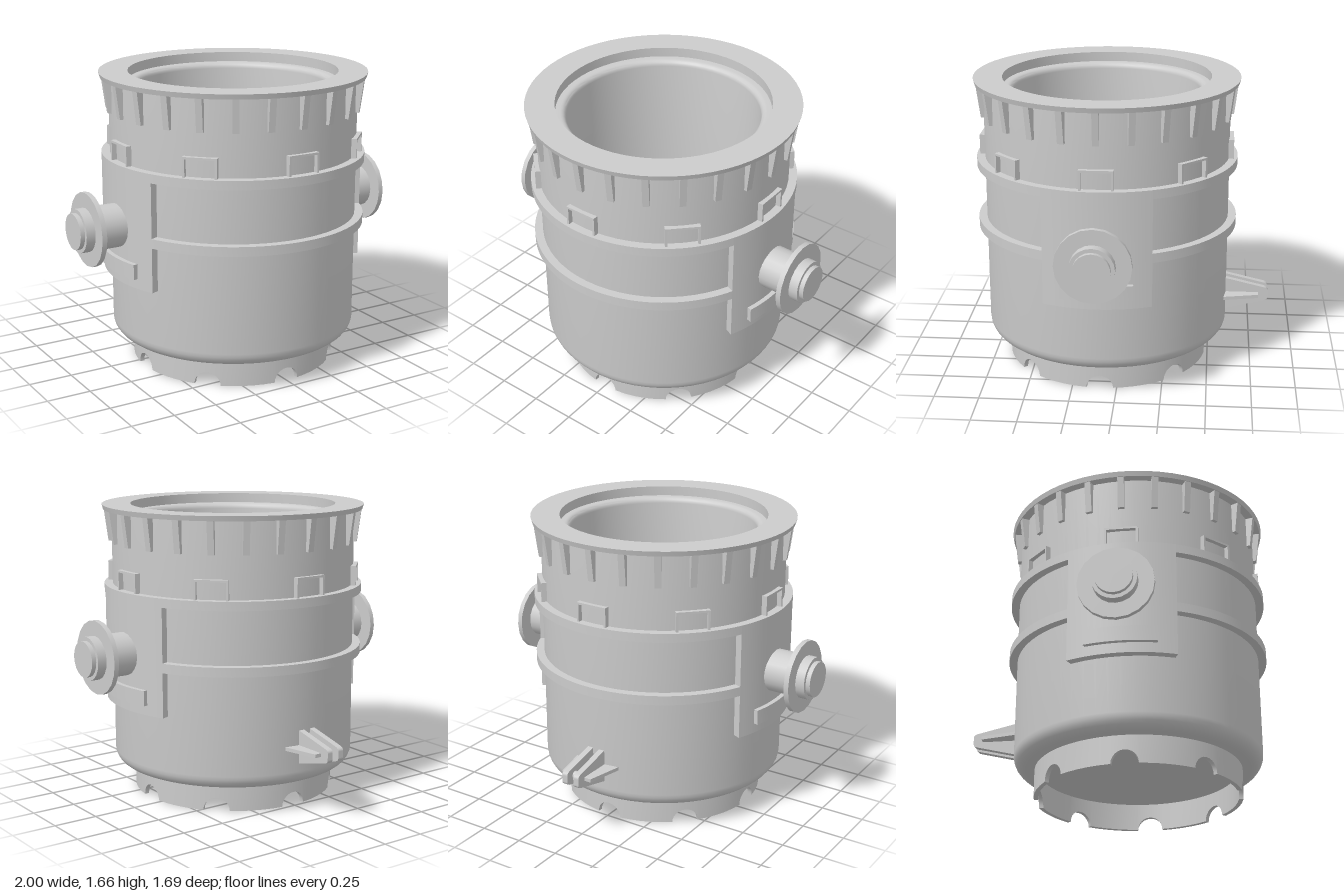
import * as THREE from 'three';
import { toCreasedNormals } from 'three/addons/utils/BufferGeometryUtils.js';

const material = new THREE.MeshStandardMaterial({ color: 0xcccccc });

function add(parent, name, geometry) {
  const mesh = new THREE.Mesh(geometry, material);
  mesh.name = name;
  parent.add(mesh);
  return mesh;
}

const polygon = (pts) => new THREE.Shape(pts.map(([x, y]) => new THREE.Vector2(x, y)));

// Flat plate of a given thickness, centred on its own plane
function plate(shape, thickness) {
  const g = new THREE.ExtrudeGeometry(shape, { depth: thickness, bevelEnabled: false, curveSegments: 8 });
  return g.translate(0, 0, -thickness / 2);
}

// Curved slab wrapped around the y axis; angle 0 points to +x
function sector(r0, r1, y0, y1, a0, a1) {
  const s = new THREE.Shape();
  s.absarc(0, 0, r1, a0, a1, false);
  s.absarc(0, 0, r0, a1, a0, true);
  const curveSegments = Math.ceil((a1 - a0) * 10);
  const g = new THREE.ExtrudeGeometry(s, { depth: y1 - y0, bevelEnabled: false, curveSegments });
  g.rotateX(-Math.PI / 2).translate(0, y0, 0);
  return toCreasedNormals(g, 0.5);
}

// Ring with eight round arches cut into its lower edge
function skirtGeometry(rOut, rIn, top, arch) {
  const columns = [];
  const half = arch / rOut;
  for (let k = 0; k < 8; k++) {
    const c = k * Math.PI / 4;
    for (let i = 0; i <= 12; i++) {
      const t = Math.PI * (1 - i / 12);
      columns.push([c + half * Math.cos(t), arch * Math.sin(t)]);
    }
    for (let i = 1; i < 5; i++) columns.push([c + half + (Math.PI / 4 - 2 * half) * i / 5, 0]);
  }
  const pos = [], index = [], n = columns.length;
  columns.forEach(([a, y], i) => {
    for (const [r, h] of [[rOut, y], [rOut, top], [rIn, top], [rIn, y]]) {
      pos.push(r * Math.sin(a), h, r * Math.cos(a));
    }
    const next = (i + 1) % n;
    for (let j = 0; j < 4; j++) {
      const k = (j + 1) % 4;
      index.push(i * 4 + j, next * 4 + j, next * 4 + k, i * 4 + j, next * 4 + k, i * 4 + k);
    }
  });
  const g = new THREE.BufferGeometry();
  g.setAttribute('position', new THREE.Float32BufferAttribute(pos, 3));
  g.setIndex(index);
  return toCreasedNormals(g, 0.5);
}

export function createModel() {
  const model = new THREE.Group();
  model.name = 'ladle';
  const pot = new THREE.Group();
  pot.name = 'pot';
  pot.position.z = 0.095;
  model.add(pot);

  // Vessel: rounded bottom, flared rim, stepped mouth and deep cavity
  const profile = [[0, 0.155], [0.62, 0.155]];
  for (let i = 1; i <= 6; i++) {
    const a = i / 6 * Math.PI / 2;
    profile.push([0.62 + 0.077 * Math.sin(a), 0.235 - 0.08 * Math.cos(a)]);
  }
  profile.push([0.695, 1.632], [0.742, 1.632], [0.75, 1.66], [0.587, 1.66], [0.587, 1.605], [0.56, 1.605]);
  for (let i = 1; i <= 5; i++) {
    const a = i / 5 * Math.PI / 2;
    profile.push([0.56 - 0.032 * Math.sin(a), 1.573 + 0.032 * Math.cos(a)]);
  }
  profile.push([0.528, 0.25], [0, 0.25]);
  const lathe = new THREE.LatheGeometry(profile.map(([x, y]) => new THREE.Vector2(x, y)), 64);
  add(pot, 'vessel', toCreasedNormals(lathe, 0.5));

  add(pot, 'baseSkirt', skirtGeometry(0.58, 0.555, 0.16, 0.075));

  // Ribs under the rim
  const ribShape = polygon([[0.68, 1.45], [0.714, 1.45], [0.738, 1.635], [0.68, 1.635]]);
  const ribGeometry = plate(ribShape, 0.036);
  for (let k = 0; k < 24; k++) add(pot, 'rimRib', ribGeometry).rotation.y = k * Math.PI / 12;

  // Inverted-U frames standing on the upper band
  const frameShape = polygon([[-0.093, 1.2], [-0.081, 1.2], [-0.081, 1.308], [0.081, 1.308],
    [0.081, 1.2], [0.093, 1.2], [0.093, 1.32], [-0.093, 1.32]]);
  const frameGeometry = plate(frameShape, 0.05).translate(0, 0, 0.694);
  for (let k = 0; k < 8; k++) add(pot, 'wallFrame', frameGeometry).rotation.y = k * Math.PI / 4;

  // Bands front and back, running between the side plates
  const half = 0.41;
  for (const [y0, y1] of [[0.802, 0.855], [1.16, 1.21]]) {
    const band = sector(0.685, 0.742, y0, y1, half, Math.PI - half);
    add(pot, 'frontBand', band).rotation.y = Math.PI;
    add(pot, 'backBand', band);
  }

  // Side plates with trunnions
  const sidePlate = sector(0.685, 0.742, 0.55, 1.21, -half, half);
  const pad = sector(0.73, 0.768, 0.607, 0.692, -0.263, 0.263);
  const disc = (r, x0, x1) =>
    new THREE.CylinderGeometry(r, r, x1 - x0, 20).rotateZ(-Math.PI / 2).translate((x0 + x1) / 2, 0.867, 0);
  for (const [side, angle] of [['left', 0], ['right', Math.PI]]) {
    const g = new THREE.Group();
    g.name = side + 'Trunnion';
    g.rotation.y = angle;
    add(g, 'sidePlate', sidePlate);
    add(g, 'pad', pad);
    add(g, 'trunnionShaft', disc(0.121, 0.7, 0.975));
    add(g, 'trunnionFlange', disc(0.205, 0.895, 0.923));
    add(g, 'trunnionCap', disc(0.1, 0.97, 1));
    pot.add(g);
  }

  // Tilting lug at the back: two cheeks, side gussets and a pin
  const lug = new THREE.Group();
  lug.name = 'tiltingLug';
  const cheek = new THREE.Shape();
  cheek.moveTo(0.67, 0.475);
  cheek.lineTo(0.915, 0.418);
  cheek.quadraticCurveTo(0.94, 0.412, 0.94, 0.395);
  cheek.lineTo(0.94, 0.358);
  cheek.quadraticCurveTo(0.94, 0.341, 0.915, 0.335);
  cheek.lineTo(0.67, 0.275);
  const cheekGeometry = plate(cheek, 0.034).rotateY(Math.PI / 2);
  for (const s of [-1, 1]) {
    add(lug, 'lugCheek', cheekGeometry).position.x = s * 0.037;
    const gusset = polygon([[s * 0.05, 0.66], [s * 0.145, 0.66], [s * 0.095, 0.885], [s * 0.05, 0.885]]);
    add(lug, 'lugGusset', plate(gusset, 0.02).rotateX(-Math.PI / 2)).position.y = 0.376;
  }
  const pin = new THREE.CylinderGeometry(0.023, 0.023, 0.06, 16).rotateZ(Math.PI / 2);
  add(lug, 'lugPin', pin).position.set(0, 0.376, -0.87);
  pot.add(lug);

  return model;
}
